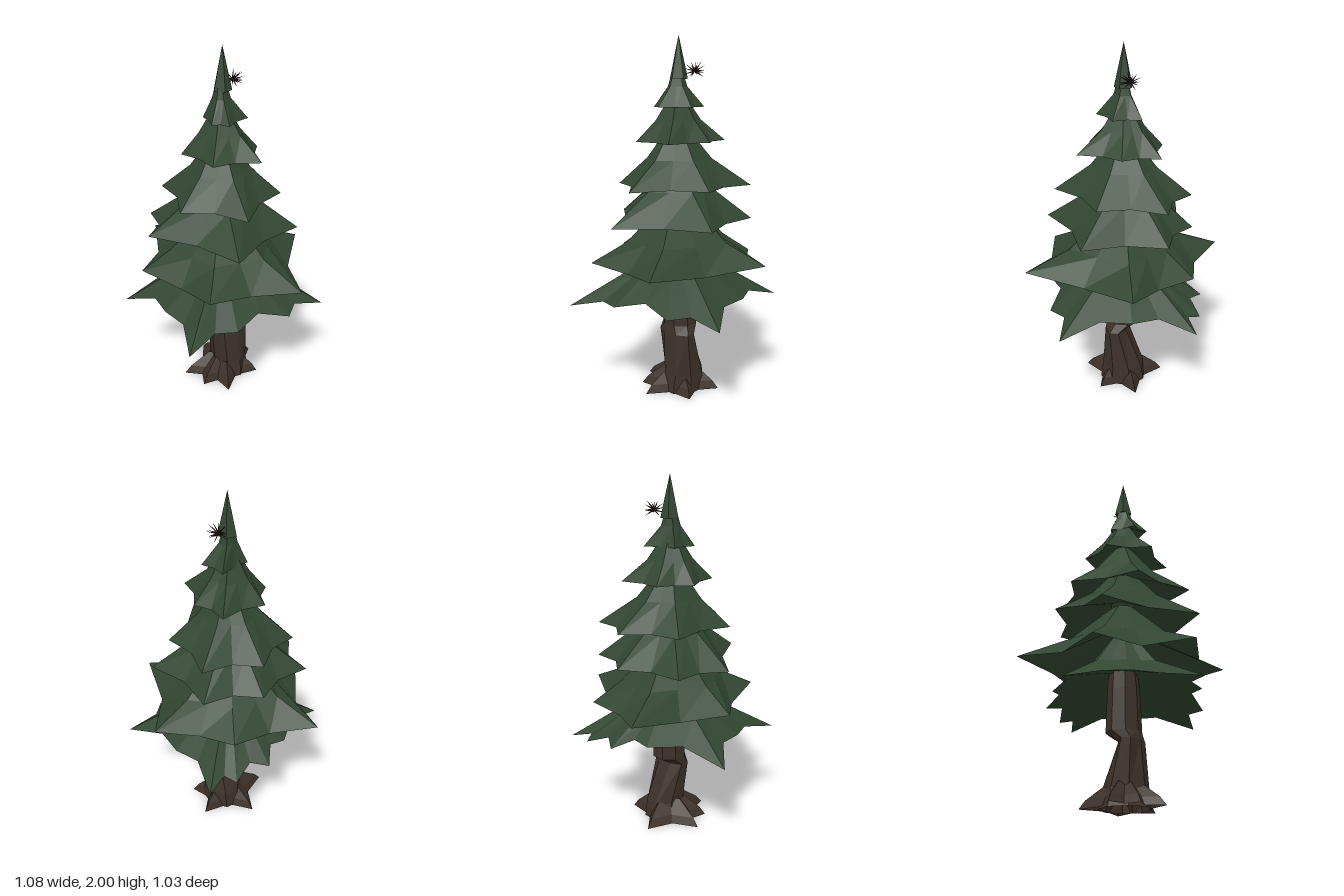
import * as THREE from 'three';

const foliage = new THREE.MeshStandardMaterial({ color: 0x324632, flatShading: true, side: THREE.DoubleSide });
foliage.name = 'pine green';
const bark = new THREE.MeshStandardMaterial({ color: 0x3d3129, flatShading: true, side: THREE.DoubleSide });
bark.name = 'bark brown';
const twigMat = new THREE.MeshStandardMaterial({ color: 0x2c1d19, flatShading: true });
twigMat.name = 'twig brown';

// Skin between successive closed rings of [x, y, z] points
function loft(rings) {
  const pos = [];
  const n = rings[0].length;
  for (let k = 0; k < rings.length - 1; k++) {
    const a = rings[k], b = rings[k + 1];
    for (let i = 0; i < n; i++) {
      const j = (i + 1) % n;
      pos.push(...a[i], ...b[i], ...a[j], ...a[j], ...b[i], ...b[j]);
    }
  }
  const g = new THREE.BufferGeometry();
  g.setAttribute('position', new THREE.Float32BufferAttribute(pos, 3));
  g.computeVertexNormals();
  return g;
}

// Star outline: a notch is cut halfway between each pair of tips [x, z]
function notched(tips, depth) {
  return tips.flatMap((p, i) => {
    const q = tips[(i + 1) % tips.length];
    return [p, [(p[0] + q[0]) / 2 * depth, (p[1] + q[1]) / 2 * depth]];
  });
}

// Ragged branch skirt: rise lifts the notches, and the surface sweeps in
// to the shoulder, then the top
function skirtGeometry(y, rise, shoulder, shoulderY, topY, tips) {
  const pts = notched(tips, 0.87);
  const radii = pts.map(p => Math.hypot(...p));
  const max = Math.max(...radii);
  const mean = radii.reduce((s, r) => s + r, 0) / radii.length;
  const rim = pts.map((p, i) => [p[0], y + rise * Math.max(0, 0.87 * max - radii[i]), p[1]]);
  const ring = (f, h) => pts.map((p, i) => {
    const s = f * (0.5 + 0.5 * mean / radii[i]);
    return [p[0] * s, h, p[1] * s];
  });
  return loft([ring(0.18, y + 0.29 * max), rim, ring(shoulder, shoulderY), ring(0.12, topY)]);
}

// Eight-sided trunk through sections of [y, centre x, centre z, half width, half depth]
function trunkGeometry(sections) {
  return loft(sections.map(([y, cx, cz, w, d]) => Array.from({ length: 8 }, (_, i) => {
    const a = (i + 0.5) * Math.PI / 4;
    const k = 1 / Math.cos(Math.PI / 8);
    return [cx + Math.cos(a) * k * w, y, cz + Math.sin(a) * k * d];
  })));
}

// Star of roots that climbs from the ground into the trunk
function rootGeometry(tips) {
  const pts = notched(tips, 0.7);
  const ring = (scale, y) => pts.map(p => [0.03 + (p[0] - 0.03) * scale, y, p[1] * scale]);
  return loft([ring(1, 0), ring(0.85, 0.045), ring(0.4, 0.125)]);
}

function seeded(seed) {
  return () => (seed = (seed * 16807) % 2147483647) / 2147483647;
}

export function createModel() {
  const tree = new THREE.Group();
  tree.name = 'pineTree';
  const add = (geometry, material, name, parent = tree) => {
    const mesh = new THREE.Mesh(geometry, material);
    mesh.name = name;
    parent.add(mesh);
    return mesh;
  };

  // Trunk with a hollow at the back, ending inside the branches
  add(trunkGeometry([
    [0, 0.04, 0, 0.12, 0.13], [0.1, 0.05, 0, 0.1, 0.115], [0.345, 0.035, 0.04, 0.108, 0.06],
    [0.39, 0.02, 0, 0.094, 0.09], [0.62, 0.016, 0, 0.084, 0.083], [0.78, 0.01, 0, 0.07, 0.07],
  ]), bark, 'trunk');

  add(rootGeometry([[0.2, 0.115], [-0.025, 0.235], [-0.15, 0.14], [-0.228, 0],
    [-0.04, -0.225], [0.23, -0.1]]), bark, 'roots');

  // Branch tiers from the bottom up
  const tier = (name, ...shape) => add(skirtGeometry(...shape), foliage, name);
  tier('lowestBranches', 0.53, 0.45, 0.5, 0.72, 0.95, [[0.535, 0.27], [0.28, 0.38], [-0.05, 0.445],
    [-0.34, 0.515], [-0.375, 0.16], [-0.54, -0.13], [-0.17, -0.34], [0, -0.45], [0.21, -0.455],
    [0.37, -0.445], [0.4, -0.1]]);
  tier('lowBranches', 0.79, -0.3, 0.62, 0.89, 1.12, [[0.53, -0.12], [0.285, 0.51], [-0.21, 0.46],
    [-0.46, -0.01], [-0.26, -0.52], [0.2, -0.41]]);
  tier('middleBranches', 1, 0, 0.5, 1.17, 1.36, [[0.4, 0.17], [-0.05, 0.455], [-0.42, 0.02],
    [-0.34, -0.27], [0.01, -0.385], [0.31, -0.28]]);
  tier('upperMiddleBranches', 1.19, 0.05, 0.52, 1.34, 1.52, [[0.32, 0.1], [0.02, 0.39], [-0.28, 0.18],
    [-0.28, -0.21], [0.01, -0.375], [0.31, -0.27]]);
  tier('upperBranches', 1.435, 0, 0.55, 1.55, 1.7, [[0.22, -0.02], [0.15, 0.23], [-0.11, 0.21],
    [-0.21, -0.03], [-0.1, -0.2], [0.16, -0.22]]);
  tier('highestBranches', 1.62, 0, 0.42, 1.73, 1.86, [[0.14, 0.04], [0, 0.15], [-0.08, 0.1],
    [-0.08, -0.05], [0.1, -0.11]]);
  add(new THREE.ConeGeometry(0.052, 0.23, 5), foliage, 'treeTop').position.set(0.01, 1.885, 0);

  // Tuft of bare twigs beside the top
  const tuft = new THREE.Group();
  tuft.name = 'twigTuft';
  tuft.position.set(0.085, 1.81, -0.045);
  tree.add(tuft);
  const rand = seeded(17);
  const up = new THREE.Vector3(0, 1, 0);
  for (let i = 0; i < 20; i++) {
    // Even spiral of directions, leaning up and outward
    const h = 1 - 1.7 * (i + 0.5) / 20;
    const a = i * 2.4;
    const r = Math.sqrt(1 - h * h);
    const dir = new THREE.Vector3(r * Math.cos(a) + 0.2, h, r * Math.sin(a)).normalize();
    const length = 0.045 + rand() * 0.03;
    const twig = add(new THREE.ConeGeometry(0.006, length, 3).translate(0, length / 2, 0), twigMat, 'twig', tuft);
    twig.quaternion.setFromUnitVectors(up, dir);
  }
  return tree;
}
